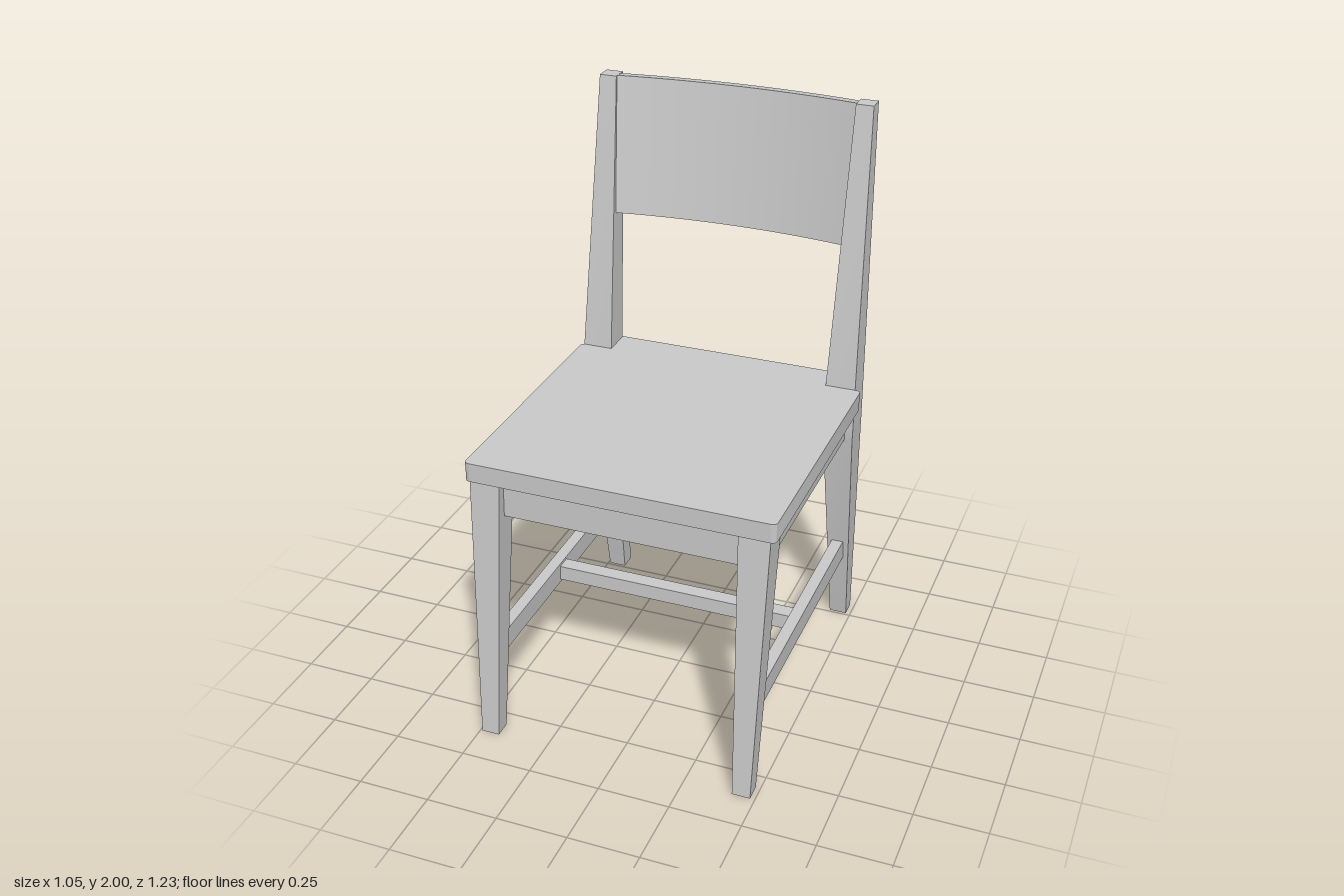
import * as THREE from 'three';
import { toCreasedNormals } from 'three/addons/utils/BufferGeometryUtils.js';

const material = new THREE.MeshStandardMaterial({ color: 0xcccccc });

function addMesh(parent, name, geometry) {
  const mesh = new THREE.Mesh(geometry, material);
  mesh.name = name;
  parent.add(mesh);
  return mesh;
}

// Box given by its lower and upper limits
function addBox(parent, name, [x0, x1], [y0, y1], [z0, z1]) {
  const mesh = addMesh(parent, name, new THREE.BoxGeometry(x1 - x0, y1 - y0, z1 - z0));
  mesh.position.set((x0 + x1) / 2, (y0 + y1) / 2, (z0 + z1) / 2);
}

// Tapered bar through rectangular sections [y, x0, x1, zBack, zFront], from bottom to top
function loft(sections) {
  const positions = [], indices = [];
  for (const [y, x0, x1, z0, z1] of sections) {
    positions.push(x0, y, z1, x1, y, z1, x1, y, z0, x0, y, z0);
  }
  const last = (sections.length - 1) * 4;
  for (let s = 0; s < last; s += 4) {
    for (let i = 0; i < 4; i++) {
      const j = (i + 1) % 4;
      indices.push(s + i, s + j, s + 4 + j, s + i, s + 4 + j, s + 4 + i);
    }
  }
  indices.push(0, 2, 1, 0, 3, 2, last, last + 1, last + 2, last, last + 2, last + 3);
  const geometry = new THREE.BufferGeometry();
  geometry.setAttribute('position', new THREE.Float32BufferAttribute(positions, 3));
  geometry.setIndex(indices);
  return toCreasedNormals(geometry, 0.5);
}

// Extrudes a plan (x, -z) upwards from y = 0
function extrudeUp(shape, height) {
  const geometry = new THREE.ExtrudeGeometry(shape, {
    depth: height, bevelEnabled: false, curveSegments: 24,
  });
  geometry.rotateX(-Math.PI / 2);
  return toCreasedNormals(geometry, 0.5);
}

// Seat plan: rounded corners, with a tongue reaching back between the posts
function seatShape() {
  const w = 0.527, front = -0.56, back = 0.375, r = 0.02, tongue = 0.41;
  const s = new THREE.Shape();
  s.moveTo(-w + r, front);
  s.lineTo(w - r, front);
  s.quadraticCurveTo(w, front, w, front + r);
  s.lineTo(w, back - r);
  s.quadraticCurveTo(w, back, w - r, back);
  s.lineTo(tongue, back);
  s.lineTo(tongue, 0.485);
  s.lineTo(-tongue, 0.485);
  s.lineTo(-tongue, back);
  s.lineTo(-w + r, back);
  s.quadraticCurveTo(-w, back, -w, back - r);
  s.lineTo(-w, front + r);
  s.quadraticCurveTo(-w, front, -w + r, front);
  return s;
}

// Curved backrest plan: an arc of even thickness, bowed to the back
function backrestShape() {
  const half = 0.425, sag = 0.05, thickness = 0.045;
  const radius = (half * half + sag * sag) / (2 * sag);
  const a = Math.asin(half / radius);
  const s = new THREE.Shape();
  s.absarc(0, -radius, radius, Math.PI / 2 - a, Math.PI / 2 + a, false);
  s.absarc(0, -radius, radius + thickness, Math.PI / 2 + a, Math.PI / 2 - a, true);
  s.closePath();
  return s;
}

export function createModel() {
  const chair = new THREE.Group();
  chair.name = 'chair';

  addMesh(chair, 'seat', extrudeUp(seatShape(), 0.067)).position.y = 0.962;

  // Frame sits very slightly off the seat's centre line
  const frame = new THREE.Group();
  frame.name = 'frame';
  frame.position.x = -0.005;
  chair.add(frame);

  const span = (side, a, b) => (side > 0 ? [a, b] : [-b, -a]);
  for (const [side, label] of [[1, 'left'], [-1, 'right']]) {
    const mirror = ([y, a, b, z0, z1]) => [y, ...span(side, a, b), z0, z1];

    addMesh(frame, label + 'FrontLeg', loft([
      [0, 0.425, 0.488, 0.557, 0.617],
      [0.962, 0.405, 0.511, 0.44, 0.545],
    ].map(mirror)));

    // Back leg and post in one bent piece
    addMesh(frame, label + 'BackLeg', loft([
      [0, 0.425, 0.488, -0.57, -0.51],
      [0.83, 0.405, 0.511, -0.482, -0.371],
      [0.88, 0.404, 0.512, -0.479, -0.37],
      [0.97, 0.404, 0.512, -0.478, -0.37],
      [1.03, 0.405, 0.511, -0.481, -0.374],
      [2, 0.425, 0.486, -0.573, -0.513],
    ].map(mirror)));

    addBox(frame, label + 'Apron', span(side, 0.433, 0.483), [0.83, 0.962], [-0.38, 0.46]);

    // Stretcher ends follow the slope of the legs
    const [x0, x1] = span(side, 0.435, 0.477);
    addMesh(frame, label + 'Stretcher', loft([
      [0.28, x0, x1, -0.475, 0.535],
      [0.355, x0, x1, -0.465, 0.525],
    ]));
  }

  addBox(frame, 'frontApron', [-0.42, 0.42], [0.83, 0.962], [0.467, 0.517]);
  addBox(frame, 'backApron', [-0.42, 0.42], [0.83, 0.962], [-0.45, -0.4]);
  addBox(frame, 'crossStretcher', [-0.44, 0.44], [0.29, 0.345], [0.005, 0.06]);

  // Backrest leans back with the posts
  const backrest = addMesh(frame, 'backrest', extrudeUp(backrestShape(), 0.484));
  backrest.rotation.x = -0.122;
  backrest.position.set(0, 1.515, -0.51);
  backrest.geometry.translate(0, 0, 0);
  backrest.geometry.translate(0, 0, 0.05 - 0.05);

  return chair;
}
